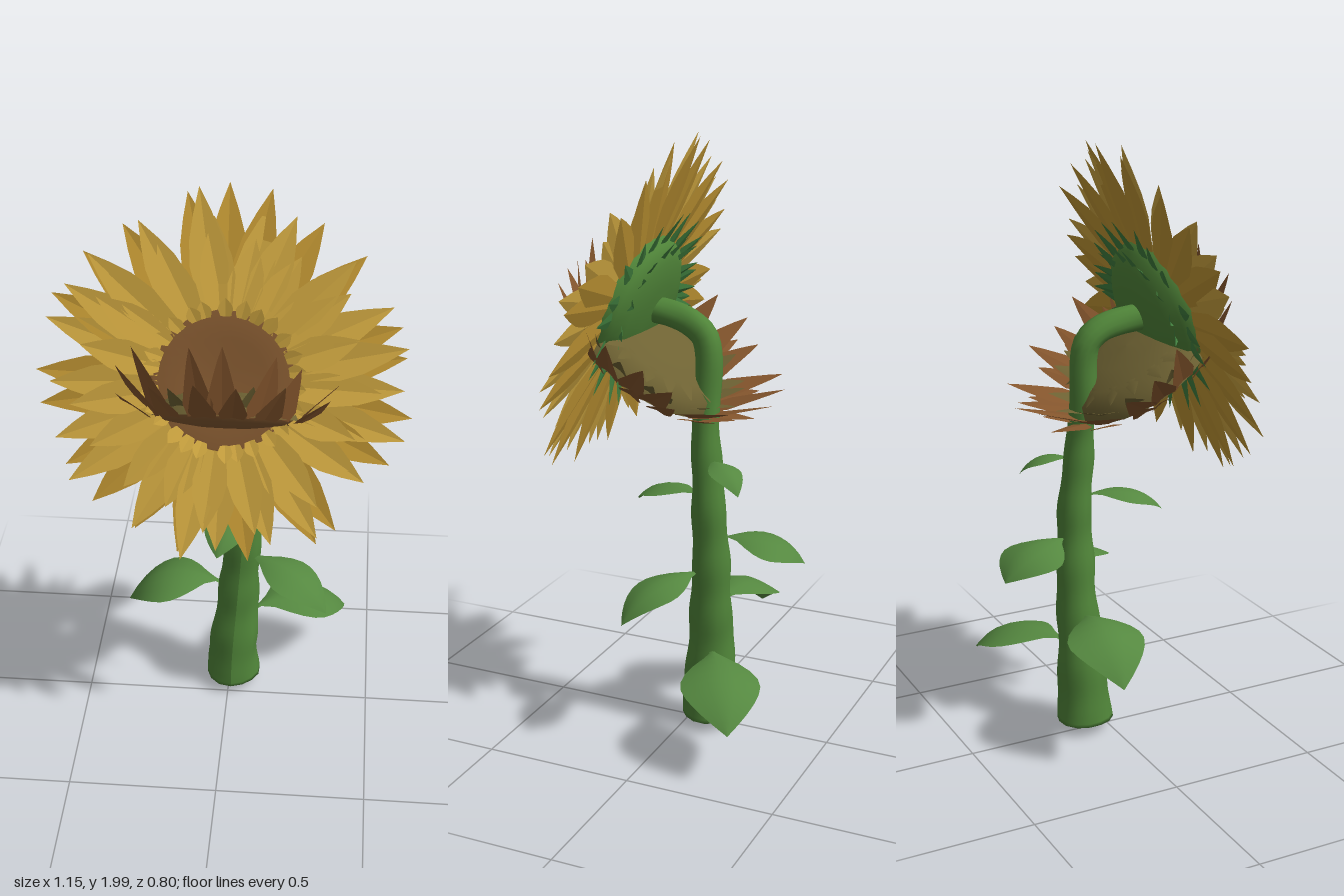
import * as THREE from 'three';

const mat = (name, color, extra = {}) => {
  const m = new THREE.MeshStandardMaterial({ color, ...extra });
  m.name = name;
  return m;
};
const open = { side: THREE.DoubleSide };
const flat = { side: THREE.DoubleSide, flatShading: true };
const M = {
  stem: mat('stem green', 0x508539),
  leaf: mat('leaf green', 0x558840, open),
  sepal: mat('sepal green', 0x41803f, flat),
  yellow: mat('petal yellow', 0xd2a942, flat),
  amber: mat('petal amber', 0xc29734, flat),
  brown: mat('seed brown', 0x855a31),
  dry: mat('dry petal brown', 0x85562d, flat),
  olive: mat('dry olive', 0x6e6233, open),
};

let seed = 11;
const rand = () => (seed = (seed * 16807) % 2147483647) / 2147483647;
const vary = (a) => (rand() * 2 - 1) * a;

function add(parent, name, geometry, material) {
  const mesh = new THREE.Mesh(geometry, material);
  mesh.name = name;
  parent.add(mesh);
  return mesh;
}

// Moves each vertex of a flat grid by a rule of u (-1..1 across) and t (0..1 along)
function sheet(nu, nt, rule) {
  const g = new THREE.PlaneGeometry(2, 1, nu, nt);
  const p = g.attributes.position;
  for (let i = 0; i < p.count; i++) {
    const v = rule(p.getX(i), p.getY(i) + 0.5);
    p.setXYZ(i, v.x, v.y, v.z);
  }
  g.computeVertexNormals();
  return g;
}

// Pointed petal growing along +y from radius r, widest at t = peak; tilt raises it to +z
function petal({ r, z, length, width, tilt, peak = 0.48, foot = 0.6, cup = 0.15 }) {
  return sheet(2, 5, (u, t) => {
    const shape = t < peak
      ? THREE.MathUtils.lerp(foot, 1, t / peak)
      : Math.pow((1 - t) / (1 - peak), 0.85);
    const w = (width / 2) * shape;
    return new THREE.Vector3(
      u * w,
      r + length * t * Math.cos(tilt),
      z + length * t * Math.sin(tilt) + cup * w * Math.abs(u));
  });
}

// Ring of petals with slightly varied length, angle and tilt
function ring(parent, name, material, count, phase, o) {
  const group = new THREE.Group();
  group.name = name + 'Ring';
  for (let i = 0; i < count; i++) {
    const length = o.length * (1 - (i ? rand() : 0) * (o.spread ?? 0.12));
    const g = petal({ ...o, length, tilt: o.tilt + vary(o.wobble ?? 0.05) });
    const m = add(group, name, g, material);
    m.rotation.z = ((i + phase + (i ? vary(0.3) : 0)) / count) * Math.PI * 2;
  }
  parent.add(group);
}

function lathe(points, segments) {
  return new THREE.LatheGeometry(points.map(([x, y]) => new THREE.Vector2(x, y)), segments)
    .rotateX(Math.PI / 2);
}

// Seed disc facing +z on a domed back, hollow or bulging by the given depth
function discs(parent, backMaterial, bulge) {
  add(parent, 'headBack', lathe(
    [[0, -0.085], [0.1, -0.081], [0.18, -0.066], [0.228, -0.04], [0.245, 0]], 32), backMaterial);
  add(parent, 'seedDisc', lathe(
    [[0.235, -0.004], [0.215, 0.014], [0.13, 0.014 + bulge * 0.7], [0, 0.014 + bulge]], 32), M.brown);
}

function freshHead() {
  const head = new THREE.Group();
  head.name = 'freshHead';
  discs(head, M.stem, -0.016);
  ring(head, 'backPetal', M.amber, 21, 0, { r: 0.2, z: -0.008, length: 0.395, width: 0.13, tilt: -0.02, spread: 0.1 });
  ring(head, 'middlePetal', M.yellow, 21, 0.5, { r: 0.2, z: 0.002, length: 0.39, width: 0.125, tilt: 0.01, spread: 0.16 });
  ring(head, 'frontPetal', M.yellow, 19, 0.25, { r: 0.2, z: 0.008, length: 0.3, width: 0.115, tilt: 0.03, spread: 0.25 });
  ring(head, 'innerPetal', M.yellow, 26, 0, { r: 0.2, z: 0.012, length: 0.06, width: 0.05, tilt: 0.25 });
  ring(head, 'outerSepal', M.sepal, 20, 0, { r: 0.22, z: -0.03, length: 0.13, width: 0.06, tilt: -0.15, peak: 0.15, wobble: 0.12 });
  ring(head, 'innerSepal', M.sepal, 17, 0.5, { r: 0.19, z: -0.058, length: 0.08, width: 0.045, tilt: -0.4, peak: 0.1, cup: 0.4, wobble: 0.12 });
  head.position.set(0.005, 1.44, 0.195);
  head.rotation.x = -0.337;
  return head;
}

function wiltedHead() {
  const head = new THREE.Group();
  head.name = 'wiltedHead';
  discs(head, M.olive, 0.02);
  const triangle = { peak: 0.2, foot: 0.8, wobble: 0.13 };
  ring(head, 'dryPetal', M.dry, 18, 0, { r: 0.24, z: 0, length: 0.22, width: 0.09, tilt: -0.85, spread: 0.25, ...triangle });
  ring(head, 'shortDryPetal', M.dry, 16, 0.5, { r: 0.25, z: 0.005, length: 0.15, width: 0.08, tilt: -0.6, spread: 0.3, ...triangle });
  ring(head, 'rimSepal', M.olive, 16, 0.2, { r: 0.225, z: -0.02, length: 0.09, width: 0.06, tilt: -0.75, ...triangle });
  ring(head, 'drySepal', M.olive, 16, 0.3, { r: 0.17, z: -0.07, length: 0.07, width: 0.045, tilt: 0.3, ...triangle });
  head.position.set(0.012, 1.258, 0.132);
  head.rotation.x = 0.95;
  head.scale.setScalar(1.08);
  return head;
}

// Stem: a tube whose rings are scaled to a tapering, slightly knobbly radius
function stemGeometry() {
  const path = new THREE.CatmullRomCurve3([
    [0.012, 0, -0.08], [0.015, 0.15, -0.08], [0.035, 0.45, -0.092], [0.052, 0.75, -0.092],
    [0.047, 1.0, -0.076], [0.028, 1.15, -0.07], [0.02, 1.3, -0.073], [0.016, 1.36, -0.058],
    [0.014, 1.396, -0.015], [0.01, 1.415, 0.04], [0.005, 1.43, 0.14],
  ].map((p) => new THREE.Vector3(...p)));
  const rings = 64, sides = 14;
  const g = new THREE.TubeGeometry(path, rings, 1, sides);
  const p = g.attributes.position;
  const v = new THREE.Vector3();
  for (let i = 0; i <= rings; i++) {
    const c = path.getPointAt(i / rings);
    const taper = c.y < 0.5 ? 0.096 - 0.06 * c.y : Math.max(0.044, 0.066 - 0.036 * (c.y - 0.5));
    const knob = c.y < 1.1 ? 0.002 * Math.sin(c.y * 34) : 0;
    for (let j = 0; j <= sides; j++) {
      const k = i * (sides + 1) + j;
      const lump = 1 + 0.04 * Math.sin((j / sides) * Math.PI * 6 + i * 0.5);
      // The foot closes in a low point
      const radius = i === 0 ? 0 : (taper + knob) * lump;
      v.fromBufferAttribute(p, k).sub(c).multiplyScalar(radius).add(c);
      if (i === 1) v.y += 0.012;
      p.setXYZ(k, v.x, Math.max(0, v.y), v.z);
    }
  }
  g.computeVertexNormals();
  return g;
}

// Leaf on a short stalk, arching out to a pointed drooping tip, its sides hanging from the midrib
function leafGeometry(base, tip, width, arch) {
  const a = new THREE.Vector3(...base), b = new THREE.Vector3(...tip);
  const near = a.clone().lerp(b, 0.35);
  const far = a.clone().lerp(b, 0.78);
  near.y = a.y + arch;
  far.y = a.y + arch;
  const curve = new THREE.CubicBezierCurve3(a, near, far, b);
  const side = new THREE.Vector3(b.z - a.z, 0, a.x - b.x).normalize();
  return sheet(6, 12, (u, t) => {
    const s = Math.max(0, (t - 0.2) / 0.8);
    const blade = s < 0.45 ? Math.sin((Math.PI / 2) * (s / 0.45)) : 1 - Math.pow((s - 0.45) / 0.55, 1.7);
    const w = 0.012 * (1 - t) + (width / 2) * blade;
    const v = curve.getPoint(t).addScaledVector(side, u * w);
    v.y -= w * 0.3 * Math.abs(u) ** 1.5;
    return v;
  });
}

export function createModel() {
  const model = new THREE.Group();
  model.name = 'sunflower';
  add(model, 'stem', stemGeometry(), M.stem);

  // Base, tip, width, arch
  const leaves = [
    [[0.04, 0.28, -0.09], [0.41, 0.18, -0.31], 0.25, 0.065],
    [[0.02, 0.4, -0.09], [-0.365, 0.31, -0.12], 0.25, 0.095],
    [[0.04, 0.56, -0.09], [0.345, 0.46, 0.09], 0.18, 0.045],
    [[0.05, 0.68, -0.1], [-0.05, 0.61, -0.39], 0.24, 0.045],
    [[0.05, 0.82, -0.08], [-0.02, 0.76, 0.2], 0.15, 0.04],
    [[0.05, 0.95, -0.08], [0.17, 0.89, -0.24], 0.1, 0.03],
  ];
  leaves.forEach((l, i) => add(model, 'leaf' + (i + 1), leafGeometry(...l), M.leaf));

  model.add(freshHead(), wiltedHead());
  return model;
}
